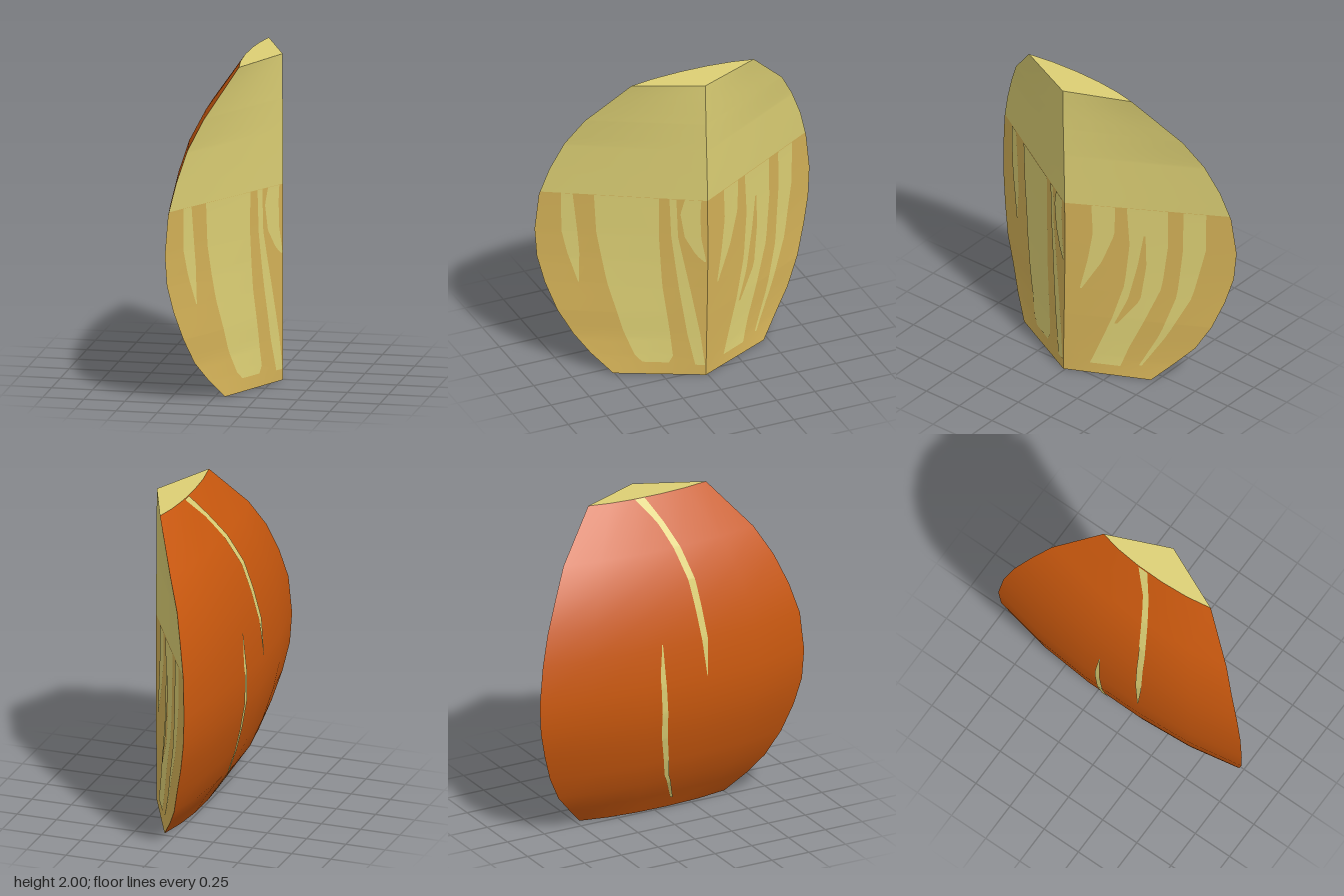
import * as THREE from 'three';

const material = (name, color) => new THREE.MeshStandardMaterial({ name, color });

// Cross-sections, top to bottom: y, +z rim (z, x), -z rim z, x of the middle of the skin, z of the core
const SECTIONS = [
  [2.00, 0.418, 0.125, -0.376, 0.09, 0.016],
  [1.725, 0.65, -0.04, -0.635, -0.10, 0.012],
  [1.55, 0.746, -0.12, -0.735, -0.19, 0.008],
  [1.365, 0.82, -0.172, -0.815, -0.246, 0.004],
  [1.18, 0.873, -0.21, -0.868, -0.288, 0.001],
  [0.94, 0.894, -0.225, -0.897, -0.307, 0],
  [0.755, 0.884, -0.215, -0.884, -0.30, 0],
  [0.585, 0.847, -0.183, -0.841, -0.267, 0.002],
  [0.405, 0.788, -0.135, -0.778, -0.214, 0.005],
  [0.245, 0.704, -0.085, -0.693, -0.15, 0.008],
  [0.125, 0.62, -0.02, -0.587, -0.066, 0.01],
  [0, 0.508, 0.06, -0.471, 0.013, 0.012],
];
const CORE_X = 0.305;
const SPLIT_Y = 1.2;
const ARC = [-1, -0.64, -0.24, 0.2, 0.62, 1];

// Linear interpolation in a table whose first column is y, falling
function sample(table, y) {
  let i = 0;
  while (i < table.length - 2 && y < table[i + 1][0]) i++;
  const a = table[i], b = table[i + 1];
  const t = THREE.MathUtils.clamp((a[0] - y) / (a[0] - b[0]), 0, 1);
  return a.map((v, k) => v + (b[k] - v) * t);
}

// Point of the skin, u running from the -z rim (-1) to the +z rim (1)
function skinPoint(y, u) {
  const [, zp, xp, zn, xm] = sample(SECTIONS, y);
  const rimX = xp + (u < 0 ? 0.012 * -u : 0);
  return [rimX + (xm - xp) * (1 - Math.abs(u) ** 2.5), y, u > 0 ? zp * u : -zn * u];
}

// Point on the skin at a given z, following its facets
function skinAt(y, z) {
  const [, zp, , zn] = sample(SECTIONS, y);
  const u = z > 0 ? z / zp : -z / zn;
  let i = 0;
  while (i < ARC.length - 2 && u > ARC[i + 1]) i++;
  const a = skinPoint(y, ARC[i]), b = skinPoint(y, ARC[i + 1]);
  return [a[0] + (b[0] - a[0]) * (u - ARC[i]) / (ARC[i + 1] - ARC[i]), y, z];
}

// Point of a cut face, t running from the core (0) to the rim (1)
function cutPoint(y, side, t) {
  const zc = sample(SECTIONS, y)[5], rim = skinPoint(y, side);
  return [CORE_X + (rim[0] - CORE_X) * t, y, zc + (rim[2] - zc) * t];
}

function cutAt(y, z, side) {
  const zc = sample(SECTIONS, y)[5], rim = skinPoint(y, side);
  return cutPoint(y, side, Math.max(0, (z - zc) / (rim[2] - zc)));
}

// Surface through rows of points: left to right, top to bottom as seen from outside
function sheet(rows) {
  const n = rows[0].length, index = [];
  for (let r = 0; r < rows.length - 1; r++) {
    for (let c = 0; c < n - 1; c++) {
      const a = r * n + c, d = a + n;
      index.push(a, d, a + 1, a + 1, d, d + 1);
    }
  }
  const geometry = new THREE.BufferGeometry();
  geometry.setAttribute('position', new THREE.Float32BufferAttribute(rows.flat(2), 3));
  geometry.setIndex(index);
  geometry.computeVertexNormals();
  return geometry;
}

// Evenly spaced heights, plus the section heights in between
function heights(top, bottom, steps) {
  const list = SECTIONS.map((s) => s[0]).filter((y) => y < top - 1e-3 && y > bottom + 1e-3);
  for (let i = 0; i <= steps; i++) list.push(top + (bottom - top) * i / steps);
  return list.sort((a, b) => b - a);
}

// Streaks: y and the two z borders, top to bottom
const LEFT_STREAKS = [
  [[1.2, 0.76, 0.70], [0.94, 0.757, 0.675], [0.8, 0.73, 0.665], [0.6, 0.675, 0.67]],
  [[1.2, 0.59, 0.255], [0.94, 0.577, 0.254], [0.6, 0.524, 0.238], [0.28, 0.444, 0.2], [0.1, 0.38, 0.185], [0.08, 0.35, 0.21]],
  [[1.2, 0.2, 0.164], [0.94, 0.19, 0.155], [0.6, 0.153, 0.095], [0.28, 0.11, 0.042], [0.07, 0.07, 0.018]],
  [[1.2, 0.12, 0.035], [1.1, 0.143, 0.04], [0.94, 0.12, 0.035], [0.82, 0.06, 0.015], [0.78, 0.02, 0.01]],
];
const RIGHT_STREAKS = [
  [[1.2, -0.14, -0.265], [1, -0.148, -0.26], [0.8, -0.12, -0.195], [0.6, -0.08, -0.09]],
  [[1.2, -0.325, -0.54], [0.94, -0.34, -0.54], [0.65, -0.315, -0.51], [0.4, -0.25, -0.42], [0.2, -0.18, -0.34], [0.07, -0.135, -0.3]],
  [[1.2, -0.62, -0.74], [0.94, -0.62, -0.738], [0.6, -0.59, -0.67], [0.33, -0.51, -0.55], [0.09, -0.4, -0.415]],
];
const RIGHT_WEDGE = [[1.01, -0.415, -0.425], [0.8, -0.385, -0.43], [0.55, -0.335, -0.4], [0.37, -0.265, -0.28]];
const SKIN_STREAKS = [
  [[2, -0.085, -0.02], [1.86, 0.02, 0.06], [1.72, 0.075, 0.12], [1.53, 0.125, 0.17], [1.17, 0.165, 0.205], [0.95, 0.19, 0.195]],
  [[1.2, -0.105, -0.1], [1, -0.125, -0.09], [0.6, -0.1, -0.06], [0.3, -0.03, 0], [0.08, 0.085, 0.1]],
];

function streak(table, pointAt, lift) {
  const rows = heights(table[0][0], table.at(-1)[0], 16).map((y) => {
    const [, a, b] = sample(table, y);
    return [0, 0.5, 1].map((t) => {
      const p = pointAt(y, a + (b - a) * t);
      return [p[0] + lift, p[1], p[2]];
    });
  });
  return sheet(rows);
}

export function createModel() {
  const flesh = material('pale yellow flesh', 0xdccf74);
  const ripe = material('golden flesh', 0xd3b157);
  const peel = material('orange skin', 0xc9580e);
  const group = new THREE.Group();
  group.name = 'fruitWedge';
  const add = (name, geometry, mat) => {
    const mesh = new THREE.Mesh(geometry, mat);
    mesh.name = name;
    group.add(mesh);
  };

  // Rounded skin with its pale streaks
  add('skin', sheet(SECTIONS.map(([y]) => ARC.map((u) => skinPoint(y, u)))), peel);
  SKIN_STREAKS.forEach((s) => add('skinStreak', streak(s, skinAt, -0.006), flesh));

  // Two cut faces, pale above and golden below, with pale streaks
  for (const side of [1, -1]) {
    const label = side > 0 ? 'left' : 'right';
    const across = [0, 0.25, 0.5, 0.75, 1];
    if (side > 0) across.reverse();
    const face = (top, bottom) => sheet(heights(top, bottom, 12).map((y) => across.map((t) => cutPoint(y, side, t))));
    add(label + 'CutUpper', face(2, SPLIT_Y), flesh);
    add(label + 'CutLower', face(SPLIT_Y, 0), ripe);
    const onCut = (y, z) => cutAt(y, z, side);
    (side > 0 ? LEFT_STREAKS : RIGHT_STREAKS).forEach((s) => add(label + 'CutStreak', streak(s, onCut, 0.004), flesh));
    if (side < 0) add('rightCutWedge', streak(RIGHT_WEDGE, onCut, 0.007), ripe);
  }

  // Flat ends
  const end = (y, arc) => sheet([arc.map((u) => skinPoint(y, u)), arc.map(() => cutPoint(y, 1, 0))]);
  add('topEnd', end(2, [...ARC].reverse()), flesh);
  add('bottomEnd', end(0, ARC), ripe);
  return group;
}
